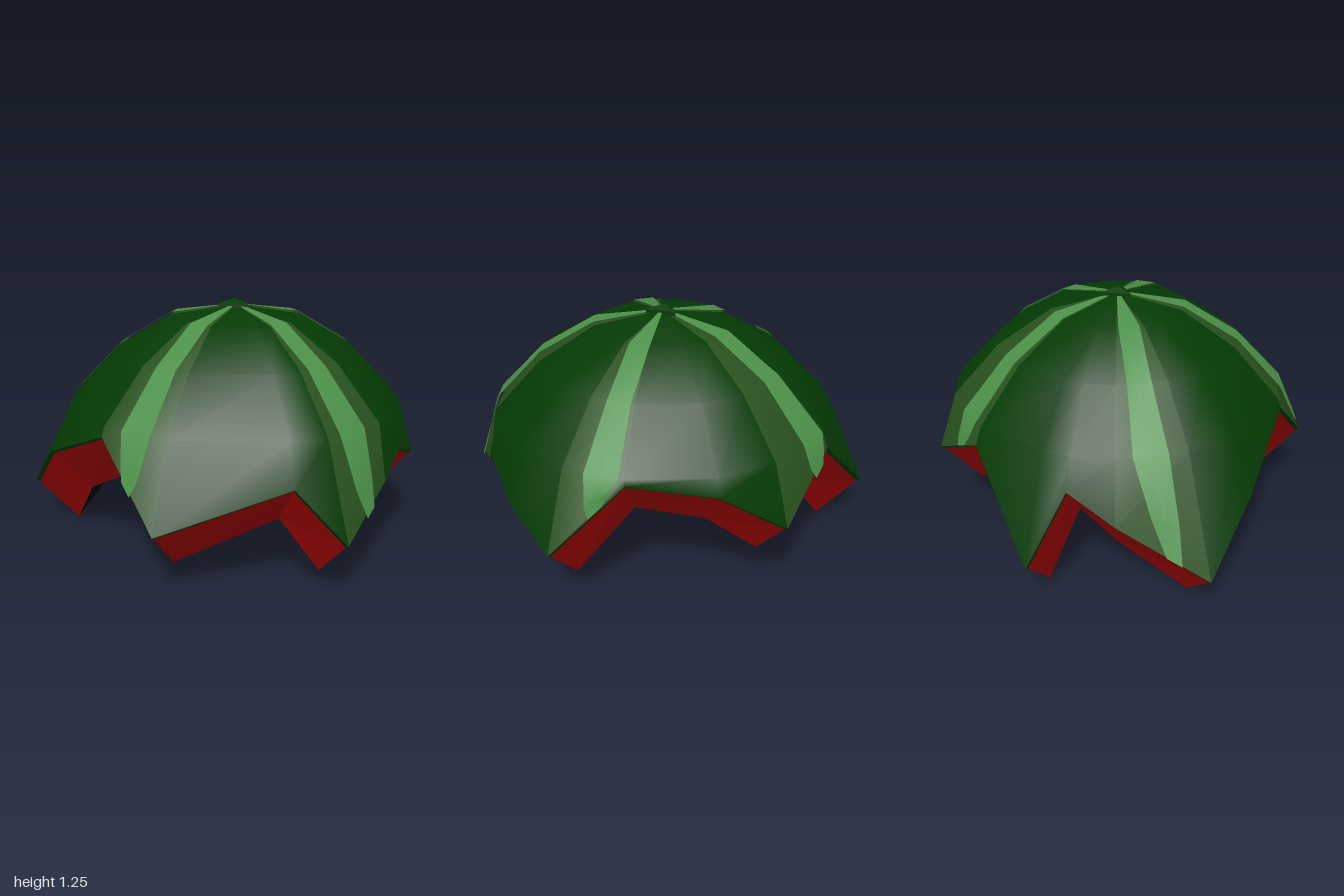
import * as THREE from 'three';

const CX = 0.05, CZ = -0.06; // axis of the dome

// Zigzag rim, going round from the left side past the front: x, y, z, and whether an olive panel follows
const RIM = [
  [1, 0.31, 0.35], [0.79, 0.56, 0.47], [0.36, 0.37, 0.92, true], [-0.06, 0.71, 0.8],
  [-0.56, 0.5, 0.7], [-0.88, 0.22, 0.56, true], [-0.88, 0.46, 0.12], [-0.88, 0.62, -0.1],
  [-1, 0.26, -0.27], [-0.65, 0.67, -0.6, true], [-0.36, 0.46, -0.92], [-0.04, 0.66, -0.92],
  [0.36, 0.71, -0.83, true], [0.71, 0.37, -0.8], [0.86, 0.48, -0.52], [0.94, 0.6, -0.2],
  [0.95, 0.48, -0.06, true],
];
// Dome profile above the rim: radius, height
const RINGS = [[0.015, 1.22], [0.34, 1.167], [0.615, 1.003], [0.85, 0.757]];

const polar = (angle, r, y) => [CX + r * Math.cos(angle), y, CZ + r * Math.sin(angle)];
const rimAngle = ([x, , z]) => Math.atan2(z - CZ, x - CX);
// A copy of the rim, shrunk towards the axis and lowered
const rimRow = (scale, drop) =>
  RIM.map(([x, y, z]) => [CX + (x - CX) * scale, y - drop, CZ + (z - CZ) * scale]);
const ringRow = (r, y) => RIM.map((p) => polar(rimAngle(p), r, y));

// Skin between rows of points; materialOf picks a material index for each column
function skin(name, rows, materials, closed = true, materialOf = () => 0) {
  const n = rows[0].length;
  const geometry = new THREE.BufferGeometry();
  geometry.setAttribute('position', new THREE.Float32BufferAttribute(rows.flat(2), 3));
  const index = [];
  for (let i = 0; i < (closed ? n : n - 1); i++) {
    const j = (i + 1) % n;
    geometry.addGroup(index.length, (rows.length - 1) * 6, materialOf(i));
    for (let k = 0; k < rows.length - 1; k++) {
      const a = k * n + i, b = k * n + j, c = b + n, d = a + n;
      index.push(a, b, c, a, c, d);
    }
  }
  geometry.setIndex(index);
  geometry.computeVertexNormals();
  const mesh = new THREE.Mesh(geometry, materials);
  mesh.name = name;
  return mesh;
}

// Gives a mesh flat facets
function faceted(mesh) {
  mesh.geometry = mesh.geometry.toNonIndexed();
  mesh.geometry.computeVertexNormals();
  return mesh;
}

function material(name, color) {
  const m = new THREE.MeshStandardMaterial({ color, side: THREE.DoubleSide });
  m.name = name;
  return m;
}

export function createModel() {
  const group = new THREE.Group();
  group.name = 'melonRindHelmet';
  const dark = material('dark green rind', 0x043a04);
  const olive = material('olive green', 0x28501d);
  const light = material('light green stripe', 0x4c9049);
  const red = material('red flesh', 0x9e0404);
  const black = material('black lining', 0x010101);
  const panel = (i) => (RIM[i][3] ? 1 : 0);

  // Outer rind, with five olive panels
  const rind = [...RINGS.map(([r, y]) => ringRow(r, y)), rimRow(1, 0)];
  group.add(skin('rind', rind, [dark, olive], true, panel));

  // Lip under the rind, then the flesh tapering down and in
  group.add(skin('rindLip', [rimRow(1, 0), rimRow(0.98, 0.012)], [dark]));
  group.add(faceted(skin('fleshBand', [rimRow(0.98, 0.012), rimRow(0.79, 0.215)], [red])));

  // Black wall inside and the hollow ceiling above it
  group.add(skin('lining', [rimRow(0.79, 0.215), ringRow(0.73, 0.66)], [black]));
  const ceiling = [[0.73, 0.66], [0.69, 0.78], [0.55, 0.94], [0.31, 1.08], [0.01, 1.14]];
  group.add(skin('ceiling', ceiling.map(([r, y]) => ringRow(r, y)), [dark, olive], true, panel));

  // Light stripes just above the olive panels: panel column, place across it midway and at the end
  const STRIPES = [[2, 0.45, 0.46], [16, 0.62, 0.5], [12, 0.33, 0.36], [9, 0.28, 0.3], [5, 0.56, 0.4]];
  const lift = 1.022;
  STRIPES.forEach(([column, mid, end], s) => {
    // Place down the rind rows, half width, how far it has moved across
    const profile = [[0, 0.006, 0], [1, 0.05, 0], [2, 0.056, 0], [3, 0.08, 0.2],
      [3.65, 0.068, 0.7], [4, 0.04, 1]];
    const rows = profile.map(([row, half, move]) => {
      const k = Math.min(Math.floor(row), 3);
      const [a, b] = [column, (column + 1) % RIM.length].map((i) =>
        new THREE.Vector3(...rind[k][i]).lerp(new THREE.Vector3(...rind[k + 1][i]), row - k));
      const centre = mid + (end - mid) * move;
      return [-1, 0, 1].map((side) => {
        const p = a.clone().lerp(b, centre + side * half / a.distanceTo(b));
        return [CX + (p.x - CX) * lift, p.y + 0.007, CZ + (p.z - CZ) * lift];
      });
    });
    group.add(skin(`stripe${s + 1}`, rows, [light], false));
  });

  // Three-sided stem nub on the crown
  const nubProfile = [[0.088, 1.213], [0.088, 1.235], [0.005, 1.255]];
  const nub = faceted(new THREE.Mesh(
    new THREE.LatheGeometry(nubProfile.map(([r, y]) => new THREE.Vector2(r, y)), 3), dark));
  nub.name = 'stemNub';
  nub.position.set(CX - 0.005, 0, CZ + 0.003);
  nub.rotation.y = Math.PI / 2;
  group.add(nub);

  return group;
}
